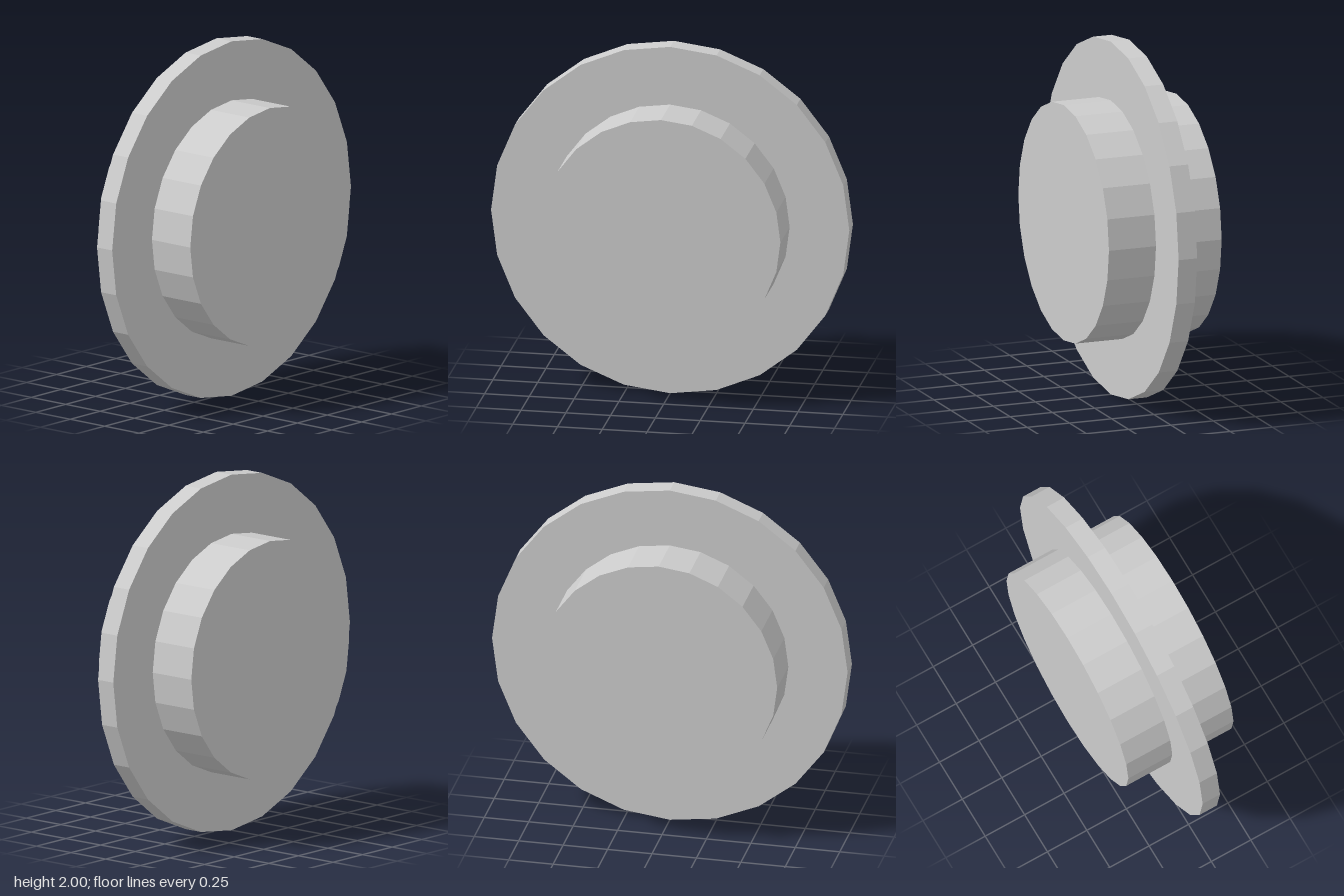
import * as THREE from 'three';

const SIDES = 24;

// Faceted disc lying along the z axis, centred at y = 1
function disc(name, radius, depth, material) {
  const geometry = new THREE.CylinderGeometry(radius, radius, depth, SIDES);
  geometry.rotateX(Math.PI / 2);
  const mesh = new THREE.Mesh(geometry, material);
  mesh.name = name;
  mesh.position.y = 1;
  return mesh;
}

export function createModel() {
  const model = new THREE.Group();
  model.name = 'flangedWheel';
  const material = new THREE.MeshStandardMaterial({ color: 0xcccccc, flatShading: true });

  // Thick drum running through the thin, wider flange
  model.add(disc('drum', 0.667, 0.667, material));
  model.add(disc('flange', 1, 0.11, material));
  return model;
}
